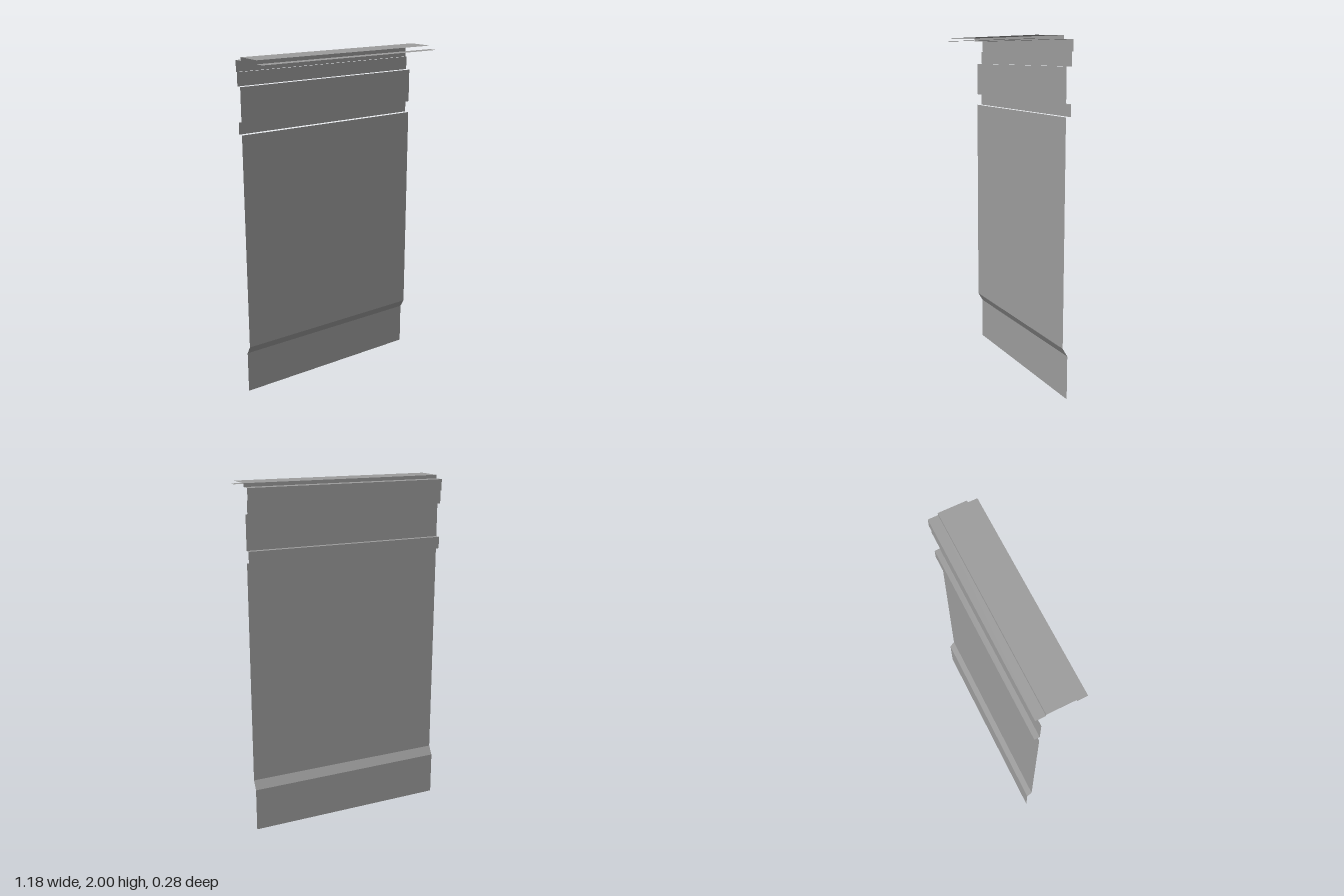
import * as THREE from 'three';

const HALF_WIDTH = 0.592;
const COPING_BACK = -0.14, BACK = -0.131, FACE = -0.101;

const material = new THREE.MeshStandardMaterial({
  color: 0x9c9c9c, side: THREE.DoubleSide, flatShading: true,
});

// Sweeps an open [z, y] profile straight across the width, with hard folds
function sheet(name, profile) {
  const positions = [];
  for (let i = 0; i < profile.length - 1; i++) {
    const [z0, y0] = profile[i], [z1, y1] = profile[i + 1];
    const w = HALF_WIDTH;
    positions.push(
      -w, y0, z0, w, y1, z1, w, y0, z0,
      -w, y0, z0, -w, y1, z1, w, y1, z1,
    );
  }
  const geometry = new THREE.BufferGeometry();
  geometry.setAttribute('position', new THREE.Float32BufferAttribute(positions, 3));
  geometry.computeVertexNormals();
  const mesh = new THREE.Mesh(geometry, material);
  mesh.name = name;
  return mesh;
}

export function createModel() {
  const model = new THREE.Group();
  model.name = 'wallPanel';

  // Skirting, sloped step and main panel
  model.add(sheet('mainPanel', [[BACK, 0], [BACK, 0.252], [FACE, 0.302], [FACE, 1.577]]));

  // Recessed rail, its ledge and the frieze above; open underneath
  model.add(sheet('railAndFrieze', [[BACK, 1.577], [BACK, 1.645], [FACE, 1.645], [FACE, 1.84]]));

  // Plain band between frieze and coping
  model.add(sheet('upperBand', [[BACK, 1.84], [BACK, 1.916]]));

  // Coping: back strip, back ledge, low riser and flat top
  model.add(sheet('coping', [
    [COPING_BACK, 1.916], [COPING_BACK, 1.98], [-0.083, 1.98], [-0.083, 2], [0.08, 2],
  ]));

  // Front lip, separated from the top by an open step
  model.add(sheet('frontLip', [[0.08, 1.98], [0.138, 1.98]]));

  return model;
}
